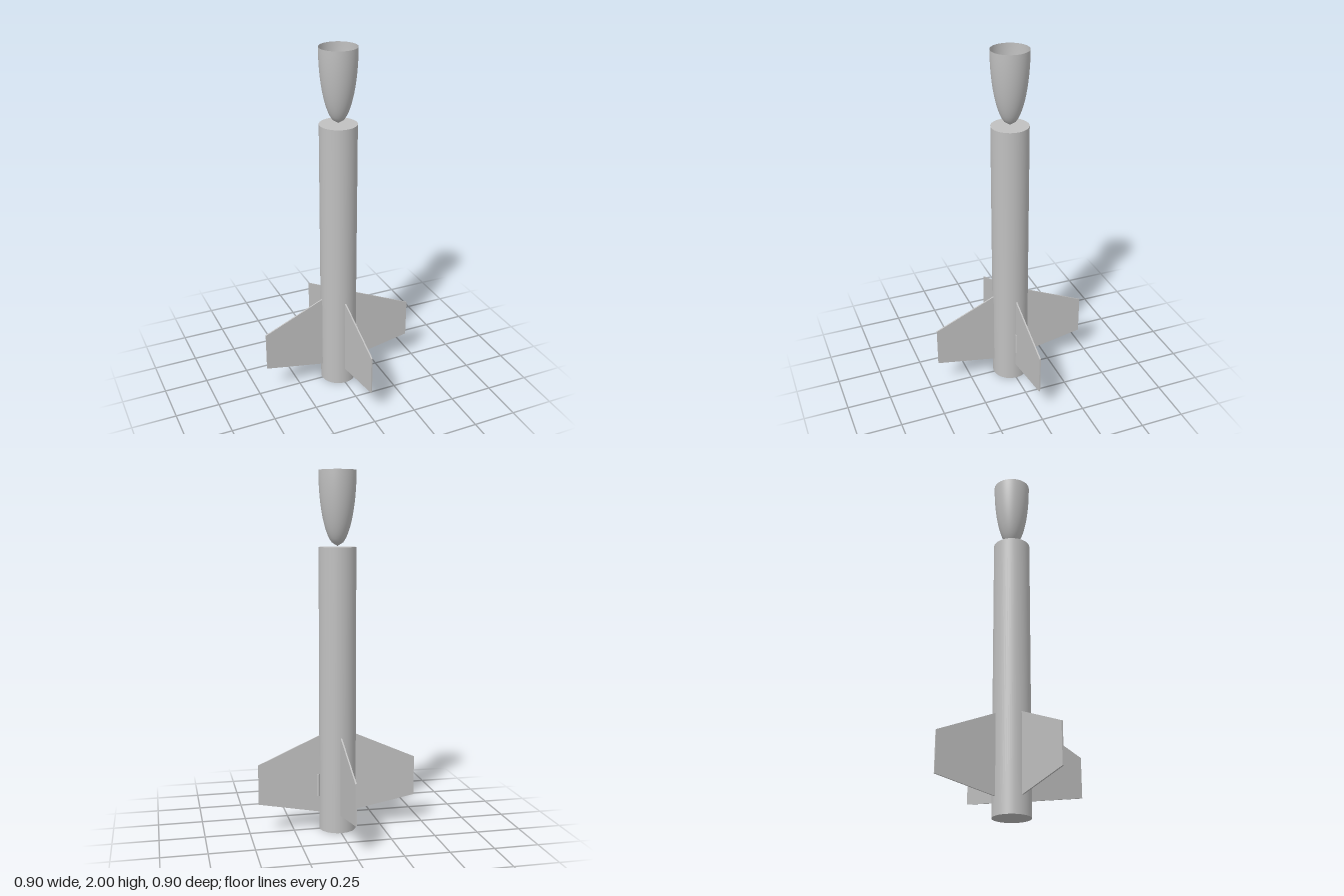
import * as THREE from 'three';

export function createModel() {
  const group = new THREE.Group();
  group.name = 'rocket';
  const grey = new THREE.MeshStandardMaterial({ color: 0xc0c0c0, side: THREE.DoubleSide });
  grey.name = 'light grey';

  const R = 0.103, BODY = 1.59;
  const add = (name, geometry, parent = group) => {
    const mesh = new THREE.Mesh(geometry, grey);
    mesh.name = name;
    parent.add(mesh);
    return mesh;
  };

  // Closed body tube
  add('bodyTube', new THREE.CylinderGeometry(R, R, BODY, 64)).position.y = BODY / 2;

  // Hollow elliptical nose shell, tip down and open at the top
  const tip = 1.595, length = 2 - tip, steps = 20, profile = [];
  for (let i = 0; i <= steps; i++) {
    const t = i / steps;
    profile.push(new THREE.Vector2(R * Math.sqrt(1 - (1 - t) ** 2), tip + length * t));
  }
  add('noseShell', new THREE.LatheGeometry(profile, 64));

  // Four thin swept fins
  const thickness = 0.008;
  const outline = new THREE.Shape([
    [R - 0.003, 0.1], [0.45, 0.165], [0.45, 0.39], [R - 0.003, 0.545],
  ].map(([x, y]) => new THREE.Vector2(x, y)));
  const finGeometry = new THREE.ExtrudeGeometry(outline, { depth: thickness, bevelEnabled: false });
  finGeometry.translate(0, 0, -thickness / 2);
  const fins = new THREE.Group();
  fins.name = 'fins';
  group.add(fins);
  for (let i = 0; i < 4; i++) add('fin' + (i + 1), finGeometry, fins).rotation.y = i * Math.PI / 2;

  // Small launch lug beside the body
  add('launchLug', new THREE.CylinderGeometry(0.009, 0.009, 0.127, 24)).position.set(0.111, 0.257, 0);

  return group;
}
